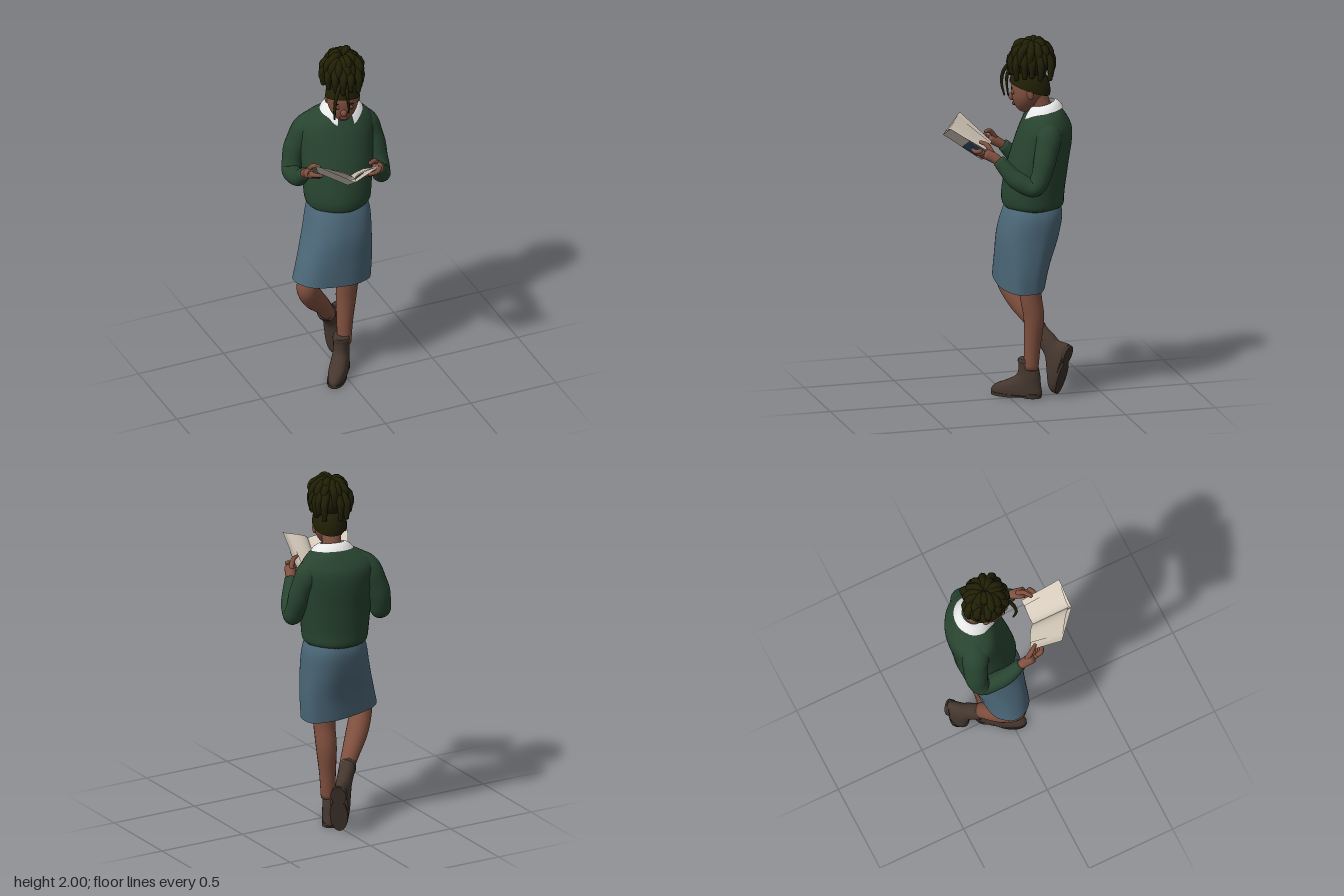
import * as THREE from 'three';
import { mergeVertices, mergeGeometries } from 'three/addons/utils/BufferGeometryUtils.js';
import { ParametricGeometry } from 'three/addons/geometries/ParametricGeometry.js';

const V = (x, y, z) => new THREE.Vector3(x, y, z);

function material(name, color, doubleSided) {
  const m = new THREE.MeshStandardMaterial({ color });
  m.name = name;
  if (doubleSided) m.side = THREE.DoubleSide;
  return m;
}

// Weld seams and poles, then smooth
function tidy(g) {
  g.deleteAttribute('uv');
  g.deleteAttribute('normal');
  const welded = mergeVertices(g, 1e-5);
  welded.computeVertexNormals();
  return welded;
}
const surface = (fn, nu, nv) => tidy(new ParametricGeometry(fn, nu, nv));
const smoothCurve = (pts) => new THREE.CatmullRomCurve3(pts, false, 'catmullrom', 0.5);
const signedPow = (x, e) => Math.sign(x) * Math.abs(x) ** e;

// Stack of (super)ellipses, bottom to top: [y, cx, cz, rx, rz]
function loft(rings, { capped = true, yaw = 0, slope = 0, power = 1, ripple = () => 0, nu = 40, nv = 36 } = {}) {
  const mid = smoothCurve(rings.map(([y, cx, cz]) => V(cx, y, cz)));
  const size = smoothCurve(rings.map((r) => V(r[3], r[4], 0)));
  return surface((u, v, out) => {
    const i = Math.round(v * nv);
    const t = capped ? THREE.MathUtils.clamp((i - 1) / (nv - 2), 0, 1) : v;
    const c = mid.getPoint(t), s = size.getPoint(t);
    const a = u * Math.PI * 2;
    const k = capped && (i === 0 || i === nv) ? 0 : 1 + ripple(a, t);
    const x = s.x * signedPow(Math.sin(a), power) * k, z = s.y * signedPow(Math.cos(a), power) * k;
    const px = x * Math.cos(yaw) + z * Math.sin(yaw);
    out.set(c.x + px, c.y + slope * px * (1 - t), c.z - x * Math.sin(yaw) + z * Math.cos(yaw));
  }, nu, nv);
}

// Rounded tube of changing thickness: [x, y, z, radius]
function limb(points, nu = 18, nv = 26, ripple = () => 0) {
  const path = smoothCurve(points.map((p) => V(p[0], p[1], p[2])));
  const radius = smoothCurve(points.map((p) => V(p[3], 0, 0)));
  const frames = [];
  let normal = V(0.31, 0.23, 0.92);
  for (let i = 0; i <= nv; i++) {
    const t = THREE.MathUtils.clamp((i - 1) / (nv - 2), 0, 1);
    const tan = path.getTangent(t), r = radius.getPoint(t).x;
    normal = normal.clone().addScaledVector(tan, -normal.dot(tan)).normalize();
    const end = i === 0 ? -1 : i === nv ? 1 : 0;
    const p = path.getPoint(t).addScaledVector(tan, end * r * 0.5);
    frames.push({ p, r: end ? 0 : r, t, n: normal, b: tan.clone().cross(normal) });
  }
  return surface((u, v, out) => {
    const f = frames[Math.round(v * nv)], a = u * Math.PI * 2;
    const r = f.r * (1 + ripple(a, f.t));
    out.copy(f.p).addScaledVector(f.n, r * Math.cos(a)).addScaledVector(f.b, r * Math.sin(a));
  }, nu, nv);
}

const blob = (x, y, z, sx, sy, sz) =>
  tidy(new THREE.SphereGeometry(1, 20, 14)).scale(sx, sy, sz).translate(x, y, z);

export function createModel() {
  const model = new THREE.Group();
  const skin = material('brown skin', 0x80503f);
  const hair = material('dark olive hair', 0x201f05);
  const wool = material('green wool', 0x284430);
  const denim = material('blue skirt cloth', 0x4c6879, true);
  const leather = material('brown leather', 0x45372f);
  const rubber = material('dark sole', 0x3c312a);
  const white = material('white collar cloth', 0xe6e6e6, true);
  const paper = material('cream paper', 0xd4c9ba, true);
  const navy = material('navy cover', 0x34506f, true);
  const lipTone = material('lip', 0x6d3a33);

  const add = (name, geometry, mat, parent = model) => {
    const m = new THREE.Mesh(geometry, mat);
    m.name = name;
    parent.add(m);
    return m;
  };

  // Sweater
  add('sweaterBody', loft([
    [1.06, 0, -0.13, 0.158, 0.148], [1.082, 0, -0.13, 0.176, 0.165], [1.15, 0, -0.13, 0.184, 0.17],
    [1.3, 0.01, -0.152, 0.194, 0.165], [1.42, 0.017, -0.177, 0.2, 0.156], [1.5, 0.022, -0.19, 0.203, 0.142],
    [1.55, 0.025, -0.19, 0.184, 0.121], [1.59, 0.04, -0.184, 0.132, 0.099], [1.617, 0.045, -0.18, 0.08, 0.078],
  ], { yaw: -0.24, ripple: (a, t) => 0.012 * Math.sin(a * 5 + t * 9) * (1 - t) }), wool);
  const folds = (a, t) => 0.03 * Math.sin(t * 34 + Math.cos(a)) * Math.sin(Math.PI * t);
  add('leftSleeve', limb([
    [0.09, 1.53, -0.18, 0.06], [0.175, 1.487, -0.165, 0.07], [0.218, 1.36, -0.132, 0.06],
    [0.23, 1.225, -0.078, 0.051], [0.19, 1.262, 0.02, 0.049], [0.135, 1.36, 0.1, 0.035],
  ], 22, 44, folds), wool);
  add('rightSleeve', limb([
    [-0.05, 1.53, -0.215, 0.062], [-0.125, 1.487, -0.242, 0.073], [-0.182, 1.36, -0.268, 0.064],
    [-0.215, 1.235, -0.245, 0.054], [-0.234, 1.262, -0.12, 0.047], [-0.235, 1.34, -0.03, 0.033],
  ], 22, 44, folds), wool);

  // Shirt collar: open at the front with two drooping points
  const collar = surface((u, v, out) => {
    const a = THREE.MathUtils.lerp(0.36, Math.PI * 2 - 0.36, u);
    const front = Math.cos(a / 2) ** 2;
    const tip = front ** 9;
    const r = THREE.MathUtils.lerp(0.064, 0.116 + 0.022 * tip, v);
    out.set(r * Math.sin(a), 1.654 - 0.03 * front - (0.036 + 0.046 * tip) * v * v, r * 0.89 * Math.cos(a));
  }, 56, 6).rotateY(-0.18).translate(0.044, 0, -0.176);
  add('collar', collar, white);

  // Skirt
  add('skirt', loft([
    [0.627, -0.063, -0.067, 0.217, 0.126], [0.75, -0.04, -0.077, 0.205, 0.138],
    [0.9, -0.015, -0.1, 0.184, 0.16], [1.02, 0, -0.122, 0.168, 0.158], [1.1, 0, -0.13, 0.143, 0.135],
  ], { capped: false, slope: -0.11, power: 0.84, nu: 64, ripple: (a, t) => 0.012 * Math.sin(a * 7 + t * 4) * (1 - t) }), denim);

  // Legs: left carries the weight, right crosses behind
  add('leftLeg', limb([
    [0.055, 0.85, -0.1, 0.075], [0.05, 0.6, -0.1, 0.06], [0.048, 0.45, -0.12, 0.056],
    [0.038, 0.3, -0.115, 0.045], [0.032, 0.16, -0.11, 0.038],
  ]), skin);
  add('rightLeg', limb([
    [-0.07, 0.85, -0.1, 0.075], [-0.165, 0.69, -0.065, 0.066], [-0.212, 0.605, -0.045, 0.06],
    [-0.158, 0.495, -0.095, 0.06], [-0.08, 0.395, -0.155, 0.048], [-0.02, 0.295, -0.19, 0.036],
  ]), skin);

  // Boots: toe along local +z; the shaft can lean back
  const boot = (name, lean) => {
    const g = new THREE.Group();
    g.name = name;
    const back = (y) => -lean * Math.max(0, y - 0.08);
    const ring = (y, cz, rx, rz) => [y, 0, cz + back(y), rx, rz];
    add('bootUpper', loft([
      ring(0.012, 0.066, 0.048, 0.142), ring(0.035, 0.066, 0.05, 0.142), ring(0.06, 0.055, 0.049, 0.127),
      ring(0.085, 0.028, 0.046, 0.097), ring(0.12, 0, 0.043, 0.066), ring(0.17, -0.002, 0.042, 0.054),
      ring(0.21, 0, 0.044, 0.055), ring(0.216, 0, 0.036, 0.046),
    ], { power: 0.92 }), leather, g);
    add('bootCuff', new THREE.TorusGeometry(1, 0.14, 8, 28).scale(0.041, 0.052, 0.06)
      .rotateX(Math.PI / 2).translate(0, 0.2, back(0.2)), leather, g);
    add('sole', new THREE.CylinderGeometry(1, 1, 0.016, 32).scale(0.05, 1, 0.1).translate(0, 0.008, 0.11), rubber, g);
    add('heel', new THREE.CylinderGeometry(0.044, 0.044, 0.024, 24).scale(1, 1, 1.25).translate(0, 0.012, -0.018), rubber, g);
    model.add(g);
    return g;
  };
  const leftBoot = boot('leftBoot', 0);
  leftBoot.position.set(0.01, 0, -0.1);
  leftBoot.rotation.y = -0.63;
  const rightBoot = boot('rightBoot', 0.6);
  const toe = V(-0.15, -0.95, 0.22).normalize();
  const side = V(-0.675, 0.29, 0.645).cross(toe).normalize();
  rightBoot.setRotationFromMatrix(new THREE.Matrix4().makeBasis(side, toe.clone().cross(side), toe));
  rightBoot.position.set(0.079, 0.216, -0.298);

  // Hands: palm, four fingers spread along the book edge, thumb on the page
  const hand = (name, palm, base, mid, tip, thumb) => {
    const parts = [limb(palm, 14, 16), limb(thumb, 10, 12)];
    for (let i = 0; i < 4; i++) {
      const s = i - 1.5, at = (p, r) => [p[0], p[1] + s * 0.01, p[2] + s * 0.013, r];
      parts.push(limb([at(base, 0.013), at(mid, 0.0125), at(tip, 0.009)], 10, 12));
    }
    add(name, mergeGeometries(parts), skin);
  };
  hand('leftHand', [[0.15, 1.34, 0.08, 0.024], [0.128, 1.372, 0.12, 0.028], [0.108, 1.395, 0.16, 0.031]],
    [0.108, 1.398, 0.17], [0.08, 1.388, 0.19], [0.03, 1.388, 0.198],
    [[0.118, 1.4, 0.13, 0.014], [0.092, 1.44, 0.155, 0.013], [0.05, 1.447, 0.18, 0.009]]);
  hand('rightHand', [[-0.235, 1.32, -0.055, 0.022], [-0.238, 1.355, -0.005, 0.027], [-0.242, 1.382, 0.04, 0.029]],
    [-0.244, 1.382, 0.045], [-0.238, 1.385, 0.075], [-0.198, 1.382, 0.098],
    [[-0.235, 1.38, 0.01, 0.014], [-0.222, 1.425, 0.045, 0.013], [-0.196, 1.432, 0.08, 0.009]]);

  // Open book: each half spans from the spine to its outer edge
  const spine = [V(-0.105, 1.46, 0.342), V(-0.06, 1.315, 0.14)];
  const bookHalf = (name, edge, sign, painted) => {
    const n = edge[0].clone().sub(spine[0]).cross(spine[1].clone().sub(spine[0])).normalize().multiplyScalar(sign);
    const sheet = (u0, u1, v0, v1, h) => surface((a, b, out) => {
      const u = THREE.MathUtils.lerp(u0, u1, a), v = THREE.MathUtils.lerp(v0, v1, b);
      out.lerpVectors(spine[0], spine[1], v)
        .lerp(edge[0].clone().lerp(edge[1], v), u).addScaledVector(n, h(a, b));
    }, 16, 8);
    add(name + 'Cover', sheet(0, 1, 0, 1, () => 0), paper);
    add(name + 'Pages', sheet(0, 0.87, 0.01, 0.97, (a) => 0.003 + 0.02 * Math.sin(Math.PI * Math.sqrt(a))), paper);
    add(name + 'LoosePage', sheet(0, 0.8, 0.03, 0.95, (a, b) => 0.006 + 0.022 * Math.sin(Math.PI * a ** 0.6) + 0.012 * a * b), paper);
    if (painted) add(name + 'CoverPanel', sheet(0.12, 1, 0.48, 0.86, () => -0.004), navy);
  };
  bookHalf('bookRight', [V(-0.275, 1.53, 0.2), V(-0.195, 1.375, 0.045)], -1, false);
  bookHalf('bookLeft', [V(0.045, 1.53, 0.342), V(0.075, 1.385, 0.13)], 1, true);

  // Neck and head
  add('neck', limb([[0.045, 1.5, -0.19, 0.06], [0.04, 1.62, -0.165, 0.051], [0.028, 1.72, -0.13, 0.055]]), skin);
  const head = new THREE.Group();
  head.name = 'head';
  head.position.set(0.02, 1.72, -0.105);
  head.rotation.set(0.2, -0.35, 0, 'YXZ');
  model.add(head);
  const skull = tidy(new THREE.SphereGeometry(1, 36, 28));
  const p = skull.attributes.position;
  for (let i = 0; i < p.count; i++) {
    const low = Math.max(0, -p.getY(i));
    p.setXYZ(i, p.getX(i) * 0.086 * (1 - 0.28 * low * low), p.getY(i) * 0.128,
      p.getZ(i) * 0.1 * (1 - 0.2 * low) + 0.045 * low);
  }
  skull.computeVertexNormals();
  add('face', skull, skin, head);
  add('nose', blob(0, -0.03, 0.106, 0.018, 0.022, 0.016), skin, head);
  add('lips', blob(0, -0.069, 0.099, 0.024, 0.01, 0.011), lipTone, head);
  for (const s of [-1, 1]) {
    add('ear', blob(s * 0.085, -0.02, -0.005, 0.01, 0.028, 0.018), skin, head);
    add('eyelid', blob(s * 0.033, 0, 0.089, 0.019, 0.012, 0.009), skin, head);
    add('lashes', blob(s * 0.033, -0.009, 0.093, 0.016, 0.0015, 0.005), hair, head);
    add('eyebrow', blob(s * 0.034, 0.024, 0.089, 0.02, 0.0025, 0.005), hair, head);
  }
  add('hairCap', tidy(new THREE.SphereGeometry(1, 32, 18, 0, Math.PI * 2, 0, Math.PI * 0.5))
    .rotateX(-0.45).scale(0.093, 0.134, 0.11), hair, head);

  // Gathered locs spilling from the crown
  let seed = 11;
  const rand = () => (seed = (seed * 16807) % 2147483647) / 2147483647;
  const locs = [blob(0.025, 1.872, -0.115, 0.096, 0.095, 0.104)];
  const cx = 0.025, cz = -0.115;
  const bumps = (a, t) => 0.06 * Math.sin(t * 40 + a);
  for (let layer = 0; layer < 3; layer++) {
    const count = [16, 13, 9][layer];
    for (let i = 0; i < count; i++) {
      const a = ((i + layer / 3 + rand() * 0.7) / count) * Math.PI * 2;
      const twist = (rand() - 0.5) * 0.6;
      const reach = [0.094, 0.08, 0.056][layer] + rand() * 0.016;
      const top = [1.92, 1.95, 1.966][layer] + rand() * 0.014;
      const end = [1.772, 1.83, 1.89][layer] + rand() * 0.035;
      const at = (r, y, w, k) => [cx + Math.sin(a + twist * k) * r, y, cz + Math.cos(a + twist * k) * r * 1.15, w];
      locs.push(limb([at(0.012, top - 0.03, 0.016, 0), at(reach * 0.55, top, 0.021, 0.3),
        at(reach, (top + end) / 2 + 0.02, 0.021, 0.8), at(reach * 0.96, end, 0.012, 1)], 10, 18, bumps));
    }
  }
  // Loose strands over the forehead
  locs.push(limb([[-0.03, 1.86, -0.02, 0.012], [-0.07, 1.8, 0.014, 0.01], [-0.083, 1.73, 0.022, 0.008], [-0.078, 1.66, 0.008, 0.005]], 8, 26, bumps));
  locs.push(limb([[0.0, 1.85, -0.01, 0.012], [-0.005, 1.79, 0.014, 0.009], [0.002, 1.73, 0.016, 0.006], [0.004, 1.68, 0.01, 0.004]], 8, 26, bumps));
  add('locs', mergeGeometries(locs), hair);
  return model;
}
